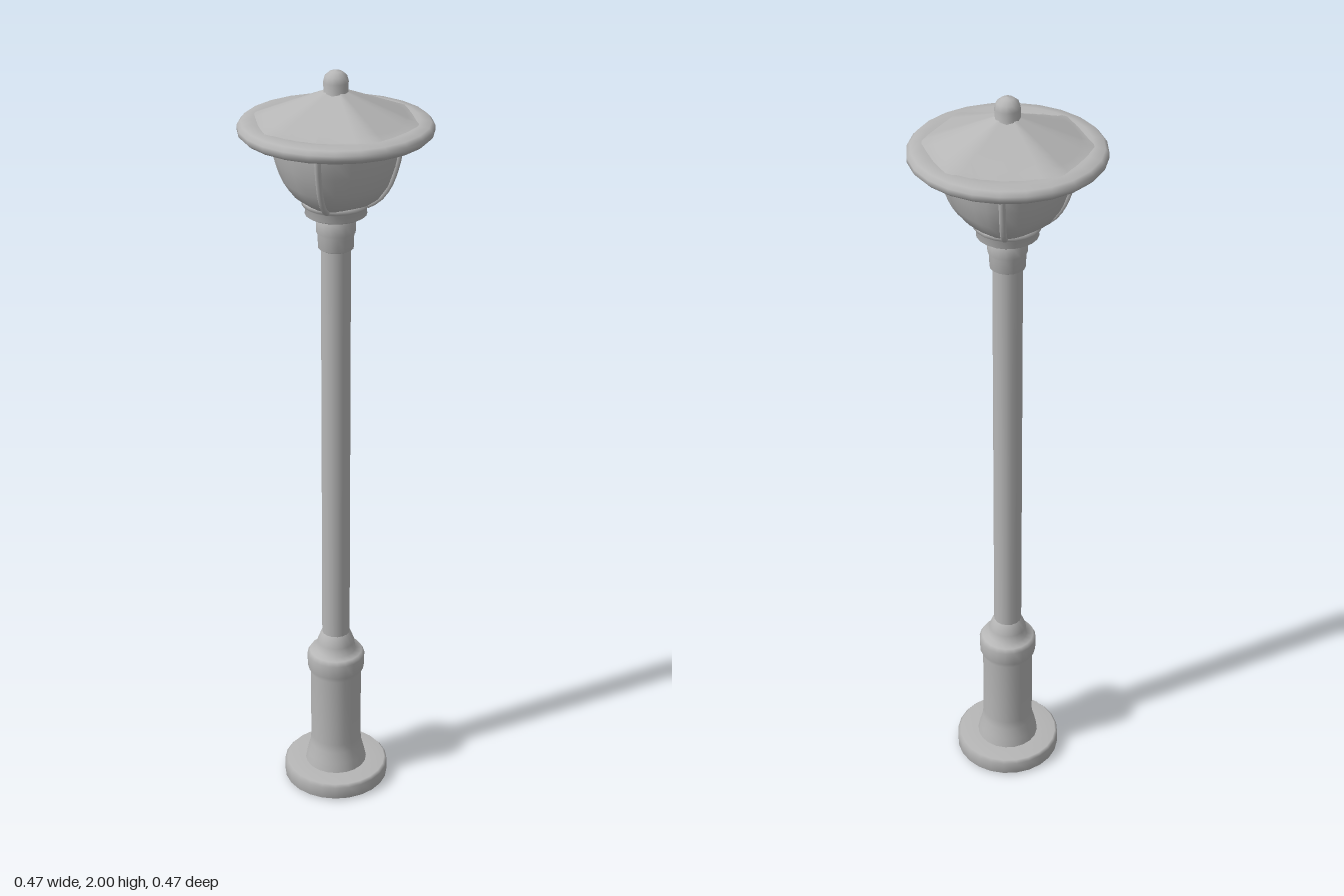
import * as THREE from 'three';

const metal = new THREE.MeshStandardMaterial({ color: 0xb6b6b6 });
metal.name = 'grey metal';

const lathe = (pts, segs) =>
  new THREE.LatheGeometry(pts.map(([r, y]) => new THREE.Vector2(r, y)), segs);

export function createModel() {
  const lamp = new THREE.Group();
  lamp.name = 'streetLamp';
  const add = (name, geometry) => {
    const mesh = new THREE.Mesh(geometry, metal);
    mesh.name = name;
    lamp.add(mesh);
    return mesh;
  };

  // Foot disc
  add('foot', lathe([[0, 0], [0.132, 0], [0.141, 0.006], [0.141, 0.04], [0.134, 0.048], [0.07, 0.049], [0, 0.049]], 24));

  // Pedestal, flared at the bottom with a collar on top
  add('pedestal', lathe([[0.084, 0.045], [0.078, 0.075], [0.07, 0.105], [0.068, 0.13], [0.068, 0.335],
    [0.076, 0.352], [0.077, 0.39], [0.07, 0.402], [0.052, 0.405], [0.05, 0.43], [0.038, 0.46], [0.03, 0.462]], 20));

  // Pole
  add('pole', lathe([[0.037, 0.4], [0.037, 1], [0.037, 1.6]], 16));

  // Collar at the top of the pole
  add('poleCollar', lathe([[0.036, 1.555], [0.044, 1.56], [0.045, 1.595], [0.049, 1.602], [0.049, 1.628],
    [0.042, 1.642], [0.038, 1.66]], 16));

  // Cup under the lantern
  add('lanternCup', lathe([[0, 1.643], [0.068, 1.643], [0.076, 1.648], [0.073, 1.665], [0.083, 1.672],
    [0.083, 1.682], [0.07, 1.69], [0, 1.69]], 20));

  // Lantern bowl, flattened between the four ribs
  const profile = [[0.078, 1.675], [0.108, 1.695], [0.132, 1.73], [0.149, 1.78], [0.157, 1.82], [0.16, 1.855]];
  const bowl = lathe(profile, 24);
  const bp = bowl.attributes.position;
  for (let i = 0; i < bp.count; i++) {
    const s = 1 - 0.09 * Math.sin(2 * Math.atan2(bp.getX(i), bp.getZ(i))) ** 2;
    bp.setXYZ(i, bp.getX(i) * s, bp.getY(i), bp.getZ(i) * s);
  }
  bowl.computeVertexNormals();
  add('lanternBowl', bowl);

  // Ribs along the bowl
  const ribPath = new THREE.CatmullRomCurve3(profile.map(([r, y]) => new THREE.Vector3(r, y, 0)));
  const rib = new THREE.TubeGeometry(ribPath, 10, 0.008, 6);
  for (let i = 0; i < 4; i++) add('lanternRib', rib).rotation.y = i * Math.PI / 2;

  // Roof rim with a shallow recessed underside
  add('roofRim', lathe([[0, 1.858], [0.19, 1.856], [0.208, 1.846], [0.226, 1.847], [0.235, 1.856],
    [0.235, 1.868], [0.226, 1.878], [0.2, 1.882], [0.17, 1.876]], 24));

  // Roof with six ridges; the facets between them sink slightly
  const ridges = [-40, 40, 90, 140, 220, 270, 320].map(a => a * Math.PI / 180);
  const roof = lathe([0.21, 0.19, 0.17, 0.145, 0.12, 0.09, 0.06, 0.025].map(r => [r, 1.9]), 36);
  const rp = roof.attributes.position;
  for (let i = 0; i < rp.count; i++) {
    const x = rp.getX(i), z = rp.getZ(i);
    let a = Math.atan2(x, z);
    if (a < ridges[0]) a += Math.PI * 2;
    let k = 0;
    while (k < 5 && a > ridges[k + 1]) k++;
    const half = (ridges[k + 1] - ridges[k]) / 2;
    const steep = Math.cos(a - ridges[k] - half) / Math.cos(half);
    rp.setY(i, Math.max(1.877, 1.962 - 0.4 * Math.hypot(x, z) * steep));
  }
  roof.computeVertexNormals();
  add('roof', roof);

  // Finial
  add('finial', lathe([[0.036, 1.935], [0.03, 1.95], [0.031, 1.972], [0.027, 1.987], [0.015, 1.997], [0, 2]], 12));

  return lamp;
}
